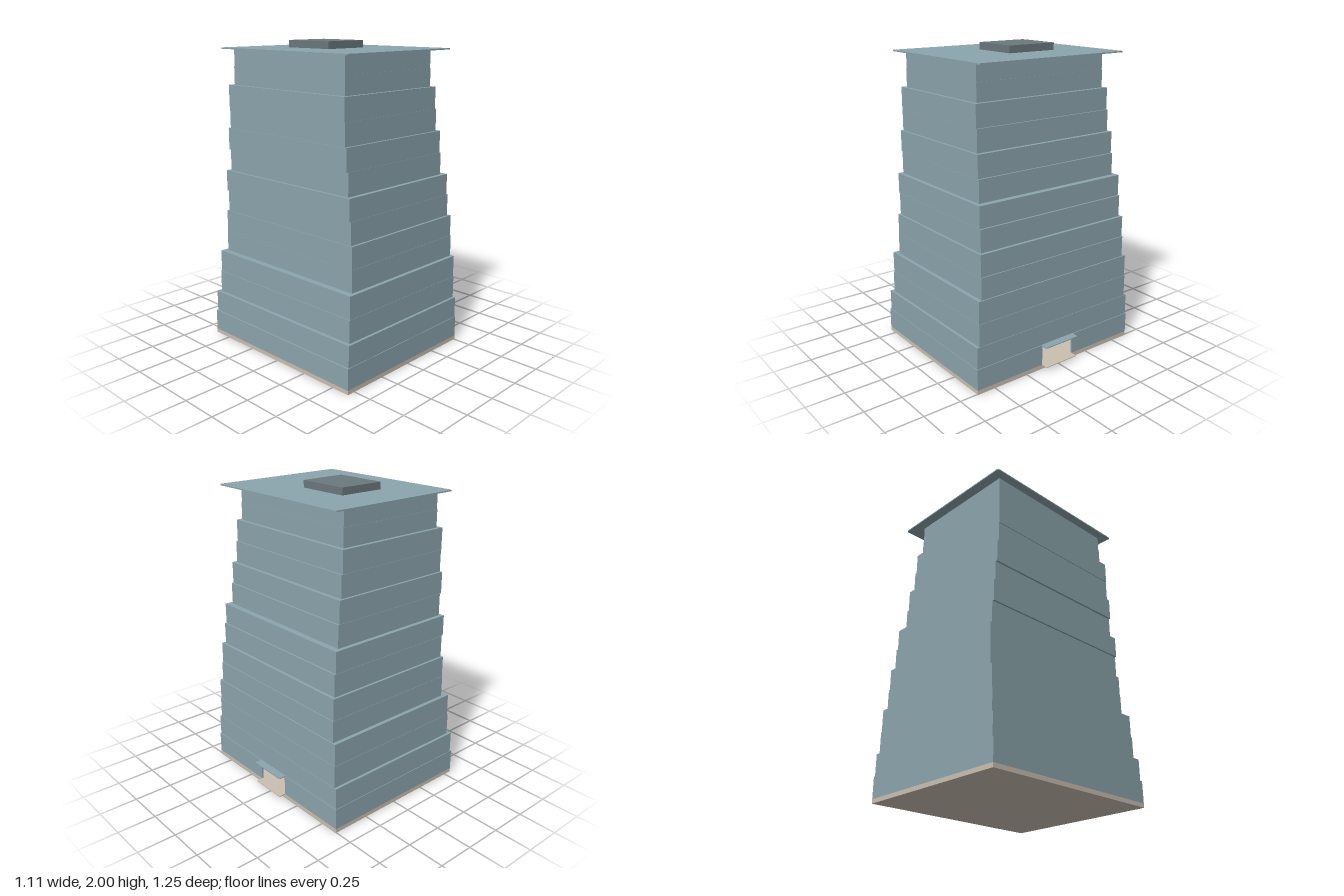
import * as THREE from 'three';

const makeMaterial = (name, color) => {
  const m = new THREE.MeshStandardMaterial({ color });
  m.name = name;
  return m;
};

export function createModel() {
  const tower = new THREE.Group();
  tower.name = 'tower';
  const teal = makeMaterial('blue grey cladding', 0x8ba4ac);
  const grey = makeMaterial('dark grey', 0x6a787d);
  const beige = makeMaterial('beige stone', 0xcabfb0);

  // Box given by its limits on each axis
  const block = (name, mat, x0, x1, y0, y1, z0, z1) => {
    const mesh = new THREE.Mesh(new THREE.BoxGeometry(x1 - x0, y1 - y0, z1 - z0), mat);
    mesh.position.set((x0 + x1) / 2, (y0 + y1) / 2, (z0 + z1) / 2);
    mesh.name = name;
    tower.add(mesh);
  };

  // Thin horizontal plate with rounded corners
  const plate = (name, mat, x0, x1, y0, y1, z0, z1, r) => {
    const s = new THREE.Shape();
    s.moveTo(x0 + r, -z1);
    s.lineTo(x1 - r, -z1).quadraticCurveTo(x1, -z1, x1, -z1 + r);
    s.lineTo(x1, -z0 - r).quadraticCurveTo(x1, -z0, x1 - r, -z0);
    s.lineTo(x0 + r, -z0).quadraticCurveTo(x0, -z0, x0, -z0 - r);
    s.lineTo(x0, -z1 + r).quadraticCurveTo(x0, -z1, x0 + r, -z1);
    const g = new THREE.ExtrudeGeometry(s, { depth: y1 - y0, bevelEnabled: false, curveSegments: 5 });
    g.rotateX(-Math.PI / 2).translate(0, y0, 0);
    const mesh = new THREE.Mesh(g, mat);
    mesh.name = name;
    tower.add(mesh);
  };

  // Ground slab
  block('groundSlab', beige, -0.555, 0.505, 0, 0.027, -0.627, 0.627);

  // Hollow ground floor with a doorway on the left side
  const t = 0.01, y0 = 0.027, y1 = 0.165;
  block('groundWallRight', teal, -0.555, -0.555 + t, y0, y1, -0.627, 0.627);
  for (const s of [-1, 1]) {
    const near = s * 0.125, far = s * 0.627, inner = s * (0.627 - t);
    block(s > 0 ? 'groundWallFront' : 'groundWallBack', teal, -0.545, 0.495, y0, y1,
      Math.min(inner, far), Math.max(inner, far));
    block('doorSideWall', teal, 0.495, 0.505, y0, y1, Math.min(near, far), Math.max(near, far));
  }
  block('doorHeader', beige, 0.495, 0.505, 0.153, y1, -0.125, 0.125);

  // Canopy and doorstep
  plate('doorCanopy', teal, 0.495, 0.552, 0.161, 0.167, -0.132, 0.132, 0.008);
  plate('doorStep', beige, 0.5, 0.55, 0.023, 0.028, -0.125, 0.125, 0.008);

  // Upper floors: bottom, top, right edge, left edge, half depth
  const floors = [
    [0.165, 0.305, -0.545, 0.5, 0.623],
    [0.305, 0.45, -0.52, 0.497, 0.605],
    [0.45, 0.595, -0.514, 0.494, 0.603],
    [0.595, 0.735, -0.472, 0.486, 0.578],
    [0.735, 0.875, -0.47, 0.479, 0.576],
    [0.875, 1.018, -0.464, 0.458, 0.56],
    [1.018, 1.155, -0.476, 0.446, 0.558],
    [1.155, 1.298, -0.457, 0.406, 0.531],
    [1.298, 1.44, -0.47, 0.394, 0.529],
    [1.44, 1.58, -0.465, 0.367, 0.513],
    [1.58, 1.72, -0.47, 0.356, 0.511],
    [1.72, 1.835, -0.441, 0.33, 0.487],
    [1.835, 1.948, -0.439, 0.328, 0.485],
  ];
  floors.forEach(([b, top, x0, x1, d], i) =>
    block('floor' + (i + 2), teal, x0, x1, b, top, -d, d));

  // Overhanging roof and rooftop plant room
  plate('roofPlate', teal, -0.495, 0.445, 1.946, 1.954, -0.55, 0.55, 0.012);
  block('rooftopUnit', grey, -0.18, 0.13, 1.954, 2, -0.252, 0.1);

  return tower;
}
